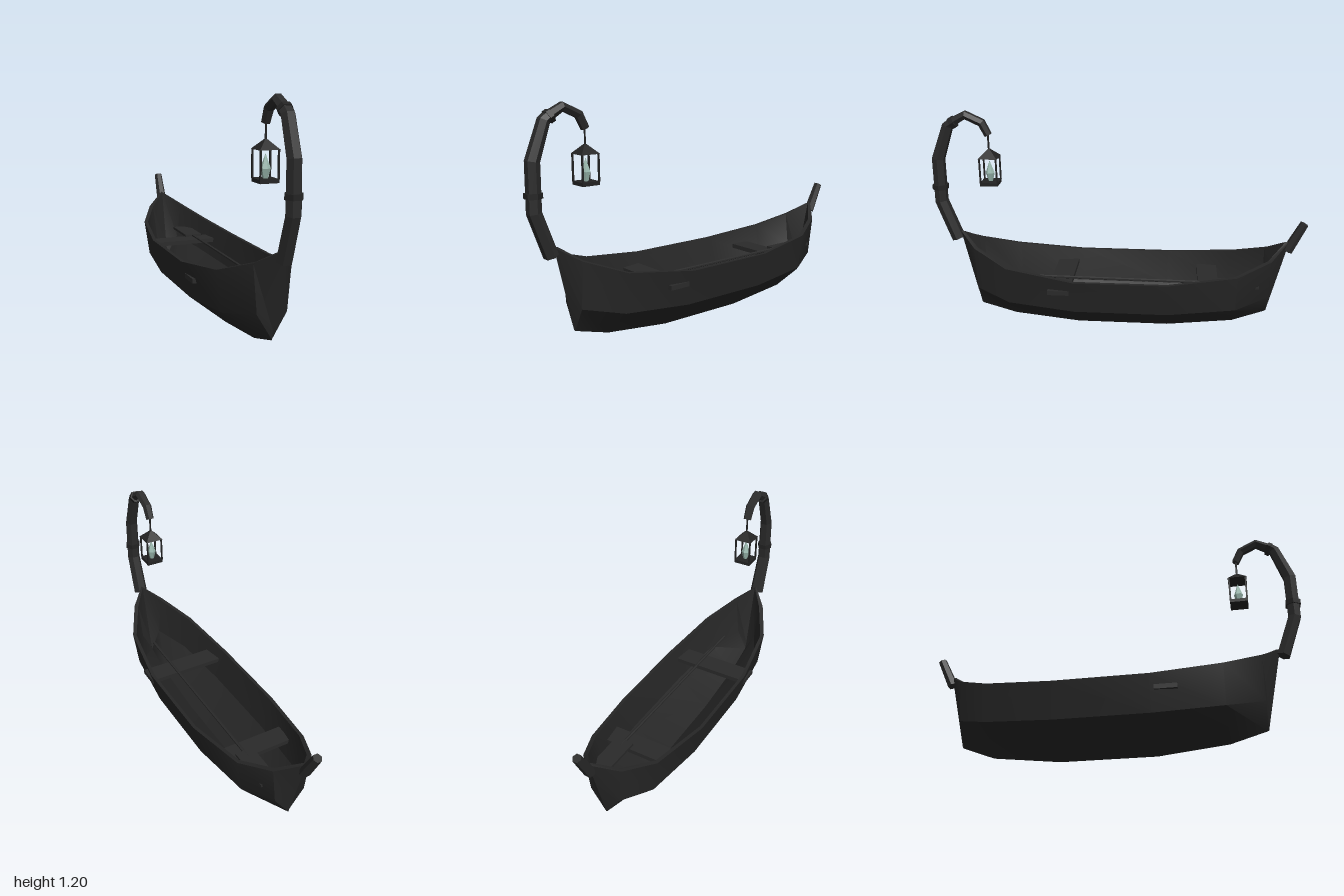
import * as THREE from 'three';
import { toCreasedNormals } from 'three/addons/utils/BufferGeometryUtils.js';

const mat = (name, color) => {
  const m = new THREE.MeshStandardMaterial({ color });
  m.name = name;
  return m;
};

// Skin closed rings of [x, y, z] points; rings run counter-clockwise about the path
function loft(rings, crease, caps) {
  const n = rings[0].length, index = [], last = (rings.length - 1) * n;
  for (let i = 0; i < rings.length - 1; i++) {
    for (let j = 0; j < n; j++) {
      const k = (j + 1) % n, a = i * n + j, b = i * n + k;
      index.push(a, b, b + n, a, b + n, a + n);
    }
  }
  if (caps) {
    for (let j = 1; j < n - 1; j++) {
      index.push(0, j + 1, j, last, last + j, last + j + 1);
    }
  }
  const g = new THREE.BufferGeometry();
  g.setAttribute('position', new THREE.Float32BufferAttribute(rings.flat(2), 3));
  g.setIndex(index);
  return toCreasedNormals(g, crease);
}

// Hexagonal beam along a path of [z, y, half width, half depth]
function beam(path) {
  const rings = path.map(([z, y, rx, rd], i) => {
    const p = path[Math.max(i - 1, 0)], q = path[Math.min(i + 1, path.length - 1)];
    const t = new THREE.Vector2(q[0] - p[0], q[1] - p[1]).normalize();
    return Array.from({ length: 6 }, (_, k) => {
      const a = k * Math.PI / 3, s = rd * Math.sin(a) / 0.866;
      return [rx * Math.cos(a), y + t.x * s, z - t.y * s];
    });
  });
  return loft(rings, 0.1, true);
}

// Hull stations: sheer [x, y, z], chine [x, y, z], keel [y, z]
const STATIONS = [
  [[0, 0.525, -0.91], [0, 0.17, -0.825], [0.115, -0.812]],
  [[0.11, 0.45, -0.81], [0.085, 0.235, -0.808], [0.11, -0.805]],
  [[0.195, 0.39, -0.63], [0.165, 0.19, -0.63], [0.045, -0.63]],
  [[0.245, 0.355, -0.27], [0.2, 0.165, -0.27], [0.005, -0.27]],
  [[0.245, 0.355, 0.23], [0.2, 0.165, 0.23], [0.005, 0.23]],
  [[0.195, 0.4, 0.59], [0.165, 0.19, 0.59], [0.045, 0.59]],
  [[0.095, 0.47, 0.78], [0.075, 0.23, 0.78], [0.1, 0.777]],
  [[0, 0.535, 0.875], [0, 0.15, 0.792], [0.105, 0.783]],
];

function hullGeometry() {
  const rings = STATIONS.map(([s, c, k]) => {
    const t = 0.018, f = 0.98;
    const sx = Math.max(s[0] - t, 0), cx = Math.max(c[0] - t, 0);
    return [
      [-s[0], s[1], s[2]], [-c[0], c[1], c[2]], [0, k[0], k[1]],
      [c[0], c[1], c[2]], [s[0], s[1], s[2]],
      [sx, s[1], s[2] * f], [cx, c[1] + 0.012, c[2] * f], [0, k[0] + 0.022, k[1] * f],
      [-cx, c[1] + 0.012, c[2] * f], [-sx, s[1], s[2] * f],
    ];
  });
  return loft(rings, 0.5, false);
}

export function createModel() {
  const hullPaint = mat('dark hull', 0x262626);
  const wood = mat('dark wood', 0x2a2a2a);
  const iron = mat('black iron', 0x222222);
  const glow = mat('pale green crystal', 0x9ab8ae);
  const model = new THREE.Group();
  model.name = 'lanternBoat';

  const add = (name, geo, material, pos = [0, 0, 0], parent = model) => {
    const m = new THREE.Mesh(geo, material);
    m.name = name;
    m.position.set(...pos);
    parent.add(m);
    return m;
  };
  const box = (x, y, z) => new THREE.BoxGeometry(x, y, z);
  const flat = (g) => toCreasedNormals(g, 0.1);

  add('hull', hullGeometry(), hullPaint);

  // Benches; the front one pokes through the planking
  add('frontBench', box(0.465, 0.024, 0.115), wood, [0, 0.287, 0.308]);
  add('rearBench', box(0.37, 0.024, 0.11), wood, [0, 0.287, -0.485]);

  // Curved prow post with a thinner hook, and the stern post
  add('prowPost', beam([
    [0.89, 0.495, 0.041, 0.031], [0.967, 0.71, 0.038, 0.031],
    [0.965, 0.945, 0.036, 0.031], [0.9, 1.125, 0.034, 0.026], [0.865, 1.15, 0.033, 0.025],
  ]), wood);
  add('prowHook', beam([
    [0.885, 1.138, 0.03, 0.023], [0.805, 1.182, 0.028, 0.021],
    [0.72, 1.142, 0.026, 0.02], [0.688, 1.077, 0.023, 0.018],
  ]), wood);
  add('sternPost', beam([
    [-0.903, 0.475, 0.03, 0.024], [-0.98, 0.63, 0.023, 0.02],
  ]), wood);

  // Bands round the prow post
  add('lowerBand', beam([[0.967, 0.777, 0.044, 0.038], [0.967, 0.803, 0.044, 0.038]]), iron);
  add('upperBand', beam([[0.882, 1.136, 0.038, 0.03], [0.863, 1.147, 0.038, 0.03]]), iron);

  // Oar laid across the benches
  const oar = new THREE.Group();
  oar.name = 'oar';
  oar.position.set(0.073, 0.308, 0);
  oar.rotation.y = -0.013;
  model.add(oar);
  const shaft = flat(new THREE.CylinderGeometry(0.008, 0.008, 1.13, 6).rotateX(Math.PI / 2));
  add('oarShaft', shaft, wood, [0, 0, 0.015], oar);
  add('oarBlade', box(0.1, 0.014, 0.245), wood, [0, 0, -0.63], oar);

  // Hanging lantern
  const lantern = new THREE.Group();
  lantern.name = 'lantern';
  lantern.position.set(0, 0.81, 0.69);
  model.add(lantern);
  add('hanger', flat(new THREE.CylinderGeometry(0.005, 0.005, 0.1, 6)), iron, [0, 0.23, 0], lantern);
  const roof = new THREE.CylinderGeometry(0.008, 0.071, 0.045, 4).rotateY(Math.PI / 4);
  add('lanternRoof', flat(roof), iron, [0, 0.17, 0], lantern);
  add('lanternBase', box(0.094, 0.018, 0.094), iron, [0, 0.009, 0], lantern);
  for (const x of [-1, 1]) {
    for (const z of [-1, 1]) {
      add('lanternCornerPost', box(0.008, 0.135, 0.008), iron, [x * 0.044, 0.083, z * 0.044], lantern);
    }
  }
  const crystal = new THREE.LatheGeometry([
    [0.012, 0], [0.024, 0.045], [0, 0.112],
  ].map((p) => new THREE.Vector2(...p)), 6);
  add('lanternCrystal', flat(crystal), glow, [0, 0.018, 0], lantern);

  return model;
}
